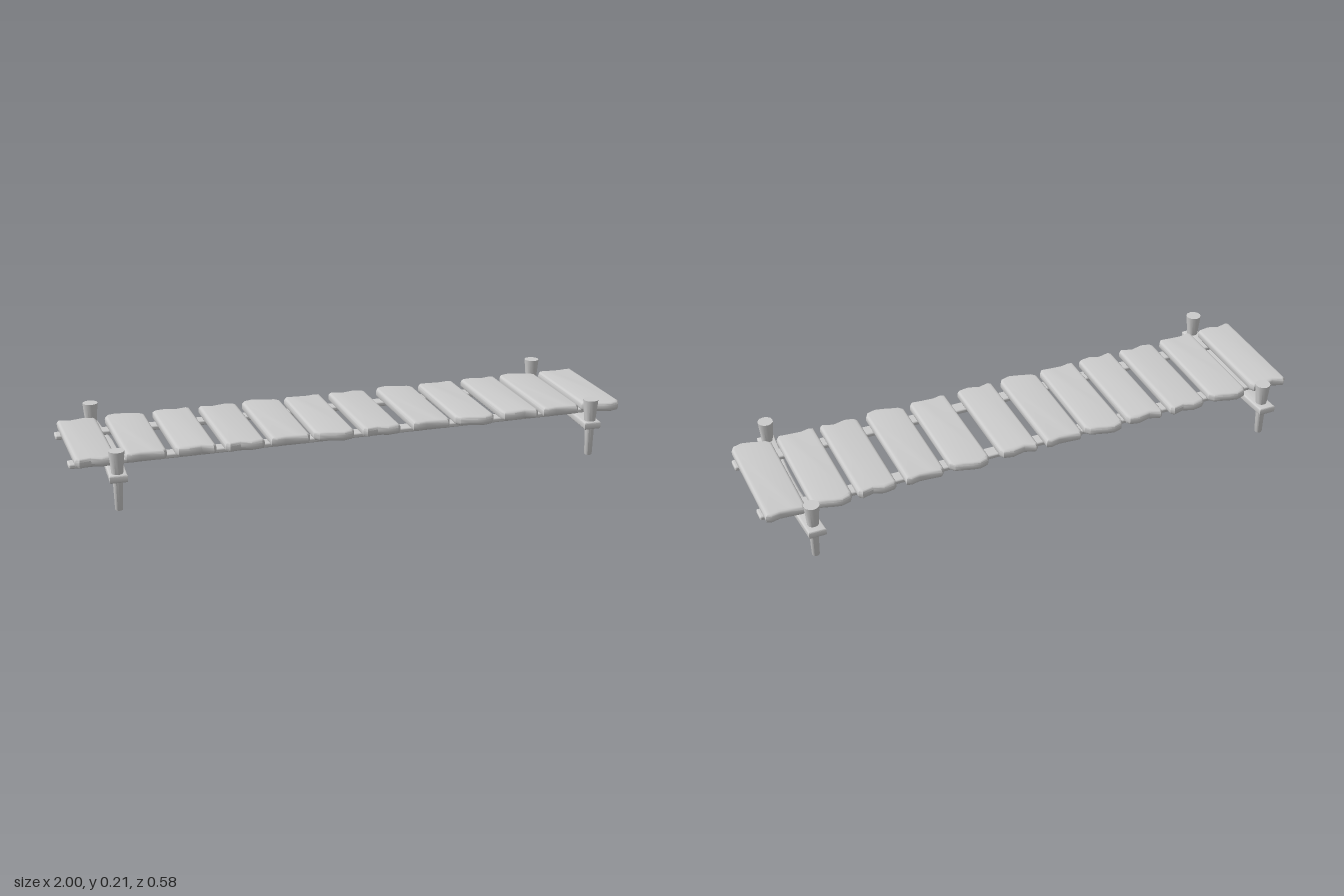
import * as THREE from 'three';
import { toCreasedNormals } from 'three/addons/utils/BufferGeometryUtils.js';
import { RoundedBoxGeometry } from 'three/addons/geometries/RoundedBoxGeometry.js';

const material = new THREE.MeshStandardMaterial({ color: 0xcccccc });

// Flat slab with rounded edges; outline is given as [x, z], y runs from bottom to top
function slab(outline, bottom, top, bevel) {
  const shape = new THREE.Shape(outline.map(([x, z]) => new THREE.Vector2(x, z)));
  const geometry = new THREE.ExtrudeGeometry(shape, {
    depth: top - bottom - 2 * bevel,
    bevelThickness: bevel, bevelSize: bevel, bevelOffset: -bevel, bevelSegments: 3,
  });
  geometry.rotateX(Math.PI / 2).translate(0, top - bevel, 0);
  return toCreasedNormals(geometry, 0.6);
}

// Board outlines: a wavy one, and one with a bulging end
const wavy = [
  [-0.068, -0.2], [-0.058, -0.21], [-0.02, -0.197], [0.025, -0.208], [0.06, -0.2], [0.069, -0.185],
  [0.068, 0.2], [0.058, 0.21], [0.02, 0.216], [-0.015, 0.203], [-0.055, 0.213], [-0.068, 0.203],
];
const bulged = [
  [-0.07, -0.195], [-0.06, -0.213], [-0.03, -0.222], [0, -0.216], [0.025, -0.208], [0.055, -0.2], [0.07, -0.183],
  [0.069, 0.195], [0.058, 0.21], [0.02, 0.206], [-0.02, 0.203], [-0.05, 0.21], [-0.069, 0.205],
];

export function createModel() {
  const model = new THREE.Group();
  const add = (name, geometry, x = 0, y = 0, z = 0) => {
    const mesh = new THREE.Mesh(geometry, material);
    mesh.name = name;
    mesh.position.set(x, y, z);
    model.add(mesh);
    return mesh;
  };

  // Walking boards: [centre x, outline, turned end for end]
  const wavyBoard = slab(wavy, 0.138, 0.172, 0.011);
  const bulgedBoard = slab(bulged, 0.138, 0.172, 0.011);
  [
    [-0.915, wavyBoard, 0], [-0.745, bulgedBoard, 0], [-0.576, wavyBoard, 1], [-0.408, wavyBoard, 0],
    [-0.247, bulgedBoard, 0], [-0.09, bulgedBoard, 1], [0.08, wavyBoard, 0], [0.265, bulgedBoard, 0],
    [0.43, bulgedBoard, 1], [0.602, wavyBoard, 1], [0.76, bulgedBoard, 0], [0.92, bulgedBoard, 1],
  ].forEach(([x, geometry, turned], i) => {
    add(`board${i + 1}`, geometry, x, 0, 0.005).rotation.y = turned * Math.PI;
  });

  // Long rails under the boards
  const rail = new RoundedBoxGeometry(2, 0.017, 0.049, 2, 0.006);
  add('frontRail', rail, 0, 0.135, 0.154);
  add('backRail', rail, 0, 0.135, -0.139);

  // Slightly bowed cross beams
  const spine = [[-0.29, -0.002], [-0.18, 0.005], [-0.06, 0.014], [0.06, 0.014], [0.18, 0.006], [0.288, 0]];
  const beamOutline = [
    ...spine.map(([z, x]) => [x + 0.03, z]),
    ...spine.map(([z, x]) => [x - 0.03, z]).reverse(),
  ];
  const beam = slab(beamOutline, 0.102, 0.129, 0.005);

  // Tapered posts, wider above the beam
  const post = toCreasedNormals(new THREE.LatheGeometry([
    [0, 0], [0.0125, 0], [0.0135, 0.003], [0.0165, 0.105], [0.0195, 0.127], [0.027, 0.207], [0, 0.207],
  ].map(([r, y]) => new THREE.Vector2(r, y)), 12), 0.7);

  for (const [side, x] of [['right', -0.855], ['left', 0.847]]) {
    add(`${side}Beam`, beam, x);
    add(`${side}FrontPost`, post, x, 0, 0.262);
    add(`${side}BackPost`, post, x, 0, -0.248);
  }
  return model;
}
